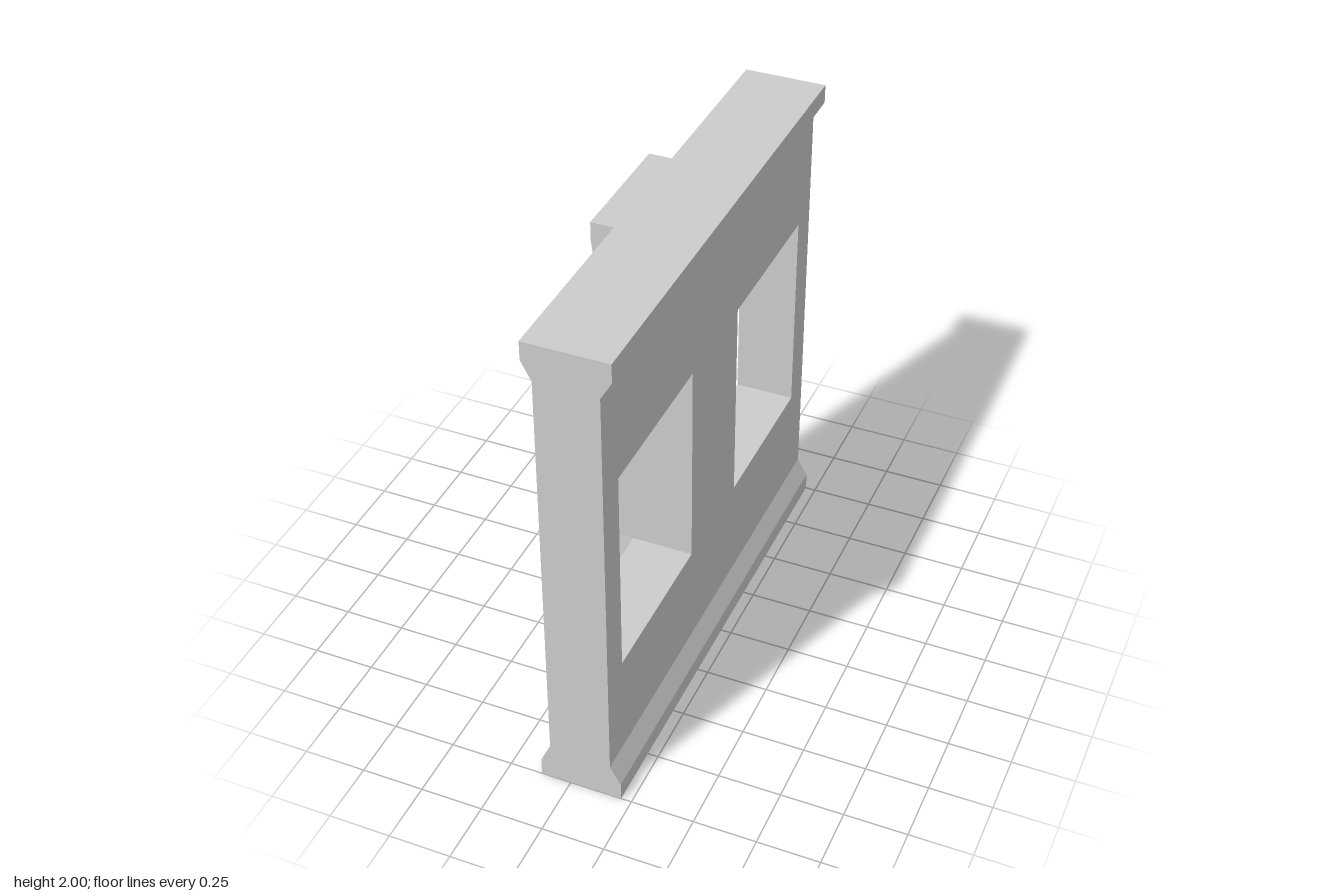
import * as THREE from 'three';

const BACK = -0.08, FRONT = 0.165; // wall faces along x

export function createModel() {
  const group = new THREE.Group();
  const material = new THREE.MeshStandardMaterial({ color: 0xcccccc, flatShading: true });
  const add = (name, geometry) => {
    const mesh = new THREE.Mesh(geometry, material);
    mesh.name = name;
    group.add(mesh);
  };
  const polygon = (points) => new THREE.Shape(points.map(([x, y]) => new THREE.Vector2(x, y)));
  const rect = (a, b, c, d) => polygon([[a, c], [b, c], [b, d], [a, d]]);

  // Wall panel with two window openings, drawn in the z-y plane
  const panel = rect(-1, 1, 0.15, 1.85);
  panel.holes.push(rect(0.22, 0.875, 0.57, 1.43), rect(-0.875, -0.22, 0.57, 1.43));
  const wall = new THREE.ExtrudeGeometry(panel, { depth: FRONT - BACK, bevelEnabled: false });
  wall.rotateY(Math.PI / 2).translate(BACK, 0, 0);
  add('wallPanel', wall);

  // Flared mouldings along the bottom and, mirrored, the top
  const flare = [[-0.12, 0], [0.208, 0], [0.208, 0.075], [FRONT, 0.15], [BACK, 0.15], [-0.12, 0.075]];
  for (const top of [false, true]) {
    const profile = polygon(flare.map(([x, y]) => [x, top ? 2 - y : y]));
    const moulding = new THREE.ExtrudeGeometry(profile, { depth: 2, bevelEnabled: false });
    add(top ? 'topMoulding' : 'bottomMoulding', moulding.translate(0, 0, -1));
  }

  // Central pilaster: rows of [y, inner x, outer x, half width], mirrored upwards
  const lower = [
    [0, -0.12, -0.21, 0.257],
    [0.075, -0.12, -0.21, 0.257],
    [0.15, BACK, -0.2, 0.257],
    [0.57, BACK, -0.2, 0.22],
  ];
  const rows = [...lower, ...lower.map(([y, ...r]) => [2 - y, ...r]).reverse()];
  const n = rows.length - 1;
  const pilaster = new THREE.BoxGeometry(1, n, 1, 1, n, 1);
  const pos = pilaster.attributes.position;
  for (let i = 0; i < pos.count; i++) {
    const [y, inner, outer, half] = rows[Math.round(pos.getY(i) + n / 2)];
    pos.setXYZ(i, pos.getX(i) > 0 ? inner : outer, y, Math.sign(pos.getZ(i)) * half);
  }
  const flat = pilaster.toNonIndexed();
  flat.computeVertexNormals();
  add('pilaster', flat);

  return group;
}
